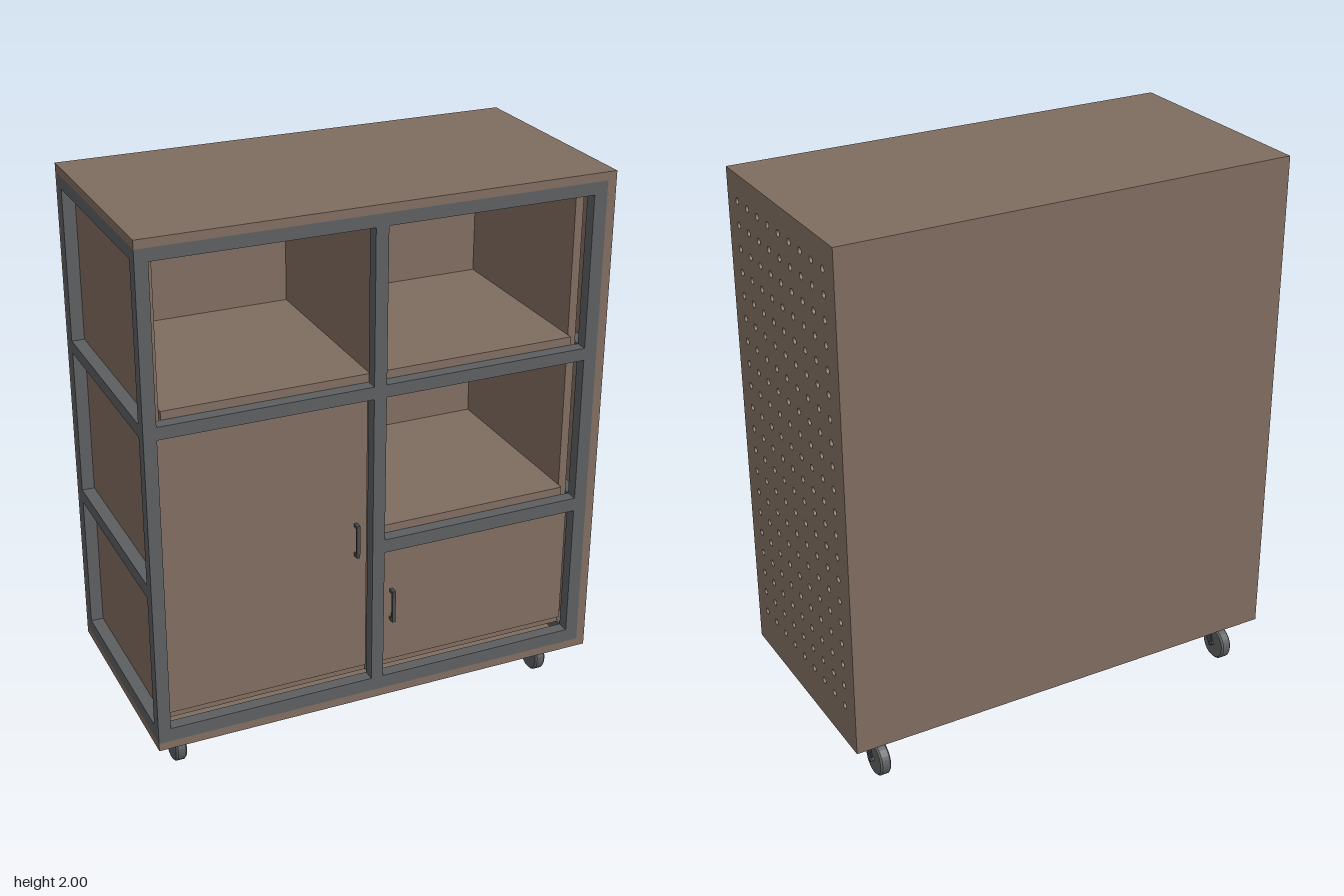
import * as THREE from 'three';

const wood = new THREE.MeshStandardMaterial({ color: 0x7f6c5f });
wood.name = 'wood panel';
const steel = new THREE.MeshStandardMaterial({ color: 0x5c5e60 });
steel.name = 'grey steel';
const dark = new THREE.MeshStandardMaterial({ color: 0x4a4a4a });
dark.name = 'dark metal';

function add(parent, name, geometry, material, x = 0, y = 0, z = 0) {
  const mesh = new THREE.Mesh(geometry, material);
  mesh.name = name;
  mesh.position.set(x, y, z);
  parent.add(mesh);
  return mesh;
}

// Box given by its limits on each axis
function block(parent, name, material, [x0, x1], [y0, y1], [z0, z1]) {
  return add(parent, name, new THREE.BoxGeometry(x1 - x0, y1 - y0, z1 - z0), material,
    (x0 + x1) / 2, (y0 + y1) / 2, (z0 + z1) / 2);
}

// Square tube frame: posts, cross rails and side rails
function makeFrame() {
  const g = new THREE.Group();
  g.name = 'frame';
  const posts = [[-0.832, -0.787], [-0.04, 0.005], [0.752, 0.8]];
  const rails = [[0.2, 0.25], [0.75, 0.8], [1.335, 1.38], [1.926, 1.97]];
  for (const depth of [[0.37, 0.415], [-0.4, -0.355]]) {
    for (const p of posts) block(g, 'post', steel, p, [0.2, 1.97], depth);
    rails.forEach((r, i) => {
      if (i !== 1) block(g, 'leftBayRail', steel, [posts[0][1], posts[1][0]], r, depth);
      block(g, 'rightBayRail', steel, [posts[1][1], posts[2][0]], r, depth);
    });
  }
  for (const p of [posts[0], posts[2]])
    for (const r of rails) block(g, 'sideRail', steel, p, r, [-0.355, 0.37]);
  return g;
}

// Side panel with a grid of round holes
function makePegboard() {
  const shape = new THREE.Shape();
  shape.moveTo(-0.415, 0.2).lineTo(0.4, 0.2).lineTo(0.4, 1.97).lineTo(-0.415, 1.97).closePath();
  for (let row = 0; row < 20; row++) {
    for (let col = 0; col < 9; col++) {
      const hole = new THREE.Path();
      hole.absarc((col - 4) * 0.0834, 0.32 + row * 0.0834, 0.012, 0, Math.PI * 2, true);
      shape.holes.push(hole);
    }
  }
  const geometry = new THREE.ExtrudeGeometry(shape, { depth: 0.032, bevelEnabled: false, curveSegments: 12 });
  geometry.rotateY(Math.PI / 2);
  const mesh = new THREE.Mesh(geometry, wood);
  mesh.name = 'perforatedSide';
  mesh.position.x = 0.8;
  return mesh;
}

// Inset door with a bar handle
function makeDoor(name, x, y, handleX, handleY) {
  const g = new THREE.Group();
  g.name = name;
  block(g, 'doorPanel', wood, x, y, [0.352, 0.374]);
  block(g, 'handleBar', dark, [handleX - 0.006, handleX + 0.006], [handleY - 0.062, handleY + 0.062], [0.39, 0.4]);
  for (const s of [-1, 1])
    block(g, 'handleFoot', dark, [handleX - 0.006, handleX + 0.006],
      [handleY + s * 0.056 - 0.006, handleY + s * 0.056 + 0.006], [0.374, 0.39]);
  return g;
}

// Swivel caster with the wheel trailing backwards
function makeCaster(x, z) {
  const g = new THREE.Group();
  g.name = 'caster';
  g.position.set(x, 0, z);
  block(g, 'mountPlate', dark, [-0.048, 0.048], [0.162, 0.17], [-0.048, 0.048]);
  add(g, 'swivel', new THREE.CylinderGeometry(0.032, 0.028, 0.014, 20), steel, 0, 0.155, 0);
  block(g, 'forkCrown', dark, [-0.03, 0.03], [0.14, 0.149], [-0.028, 0.028]);
  const side = new THREE.Shape();
  side.moveTo(-0.028, 0.149).lineTo(0.028, 0.149).lineTo(0.058, 0.063);
  side.lineTo(0.036, 0.056).closePath();
  const cheek = new THREE.ExtrudeGeometry(side, { depth: 0.004, bevelEnabled: false });
  cheek.rotateY(Math.PI / 2);
  for (const cx of [-0.03, 0.026]) add(g, 'forkCheek', cheek, dark, cx);
  const tread = [[0, -0.02], [0.057, -0.02], [0.063, -0.014], [0.063, 0.014], [0.057, 0.02], [0, 0.02]]
    .map(([r, h]) => new THREE.Vector2(r, h));
  const wheel = add(g, 'wheel', new THREE.LatheGeometry(tread, 32).toNonIndexed(), steel, 0, 0.063, -0.048);
  wheel.geometry.computeVertexNormals();
  wheel.rotation.z = Math.PI / 2;
  const axle = add(g, 'axle', new THREE.CylinderGeometry(0.008, 0.008, 0.07, 12), dark, 0, 0.063, -0.048);
  axle.rotation.z = Math.PI / 2;
  block(g, 'brakePedal', dark, [-0.016, 0.016], [0.132, 0.138], [0.012, 0.046]);
  return g;
}

export function createModel() {
  const model = new THREE.Group();
  model.name = 'rollingCabinet';
  model.add(makeFrame(), makePegboard());

  // Outer boards
  const wide = [-0.832, 0.832];
  block(model, 'topBoard', wood, wide, [1.97, 2], [-0.4, 0.415]);
  block(model, 'bottomBoard', wood, wide, [0.17, 0.2], [-0.4, 0.415]);
  block(model, 'backBoard', wood, wide, [0.17, 2], [-0.415, -0.4]);

  // Inner linings and divider
  block(model, 'leftBayLining', wood, [-0.787, -0.758], [0.25, 1.926], [-0.355, 0.35]);
  block(model, 'rightBayLining', wood, [0.722, 0.752], [0.25, 1.926], [-0.355, 0.35]);
  block(model, 'divider', wood, [-0.036, 0.001], [0.25, 1.97], [-0.355, 0.37]);
  block(model, 'innerBack', wood, [-0.758, 0.722], [0.25, 1.97], [-0.355, -0.345]);

  // Shelves and floors
  for (const y of [0.25, 0.8, 1.38]) {
    const front = y > 1 ? 0.37 : 0.35;
    block(model, 'leftBayShelf', wood, [-0.758, -0.036], [y, y + 0.03], [-0.345, front]);
    block(model, 'rightBayShelf', wood, [0.001, 0.722], [y, y + 0.03], [-0.345, y > 0.5 ? 0.37 : 0.35]);
  }

  // Doors
  model.add(makeDoor('tallDoor', [-0.78, -0.045], [0.285, 1.322], -0.086, 0.803));
  model.add(makeDoor('smallDoor', [0.012, 0.744], [0.285, 0.735], 0.052, 0.513));

  // Casters
  for (const x of [-0.717, 0.717])
    for (const z of [0.294, -0.289]) model.add(makeCaster(x, z));
  return model;
}
